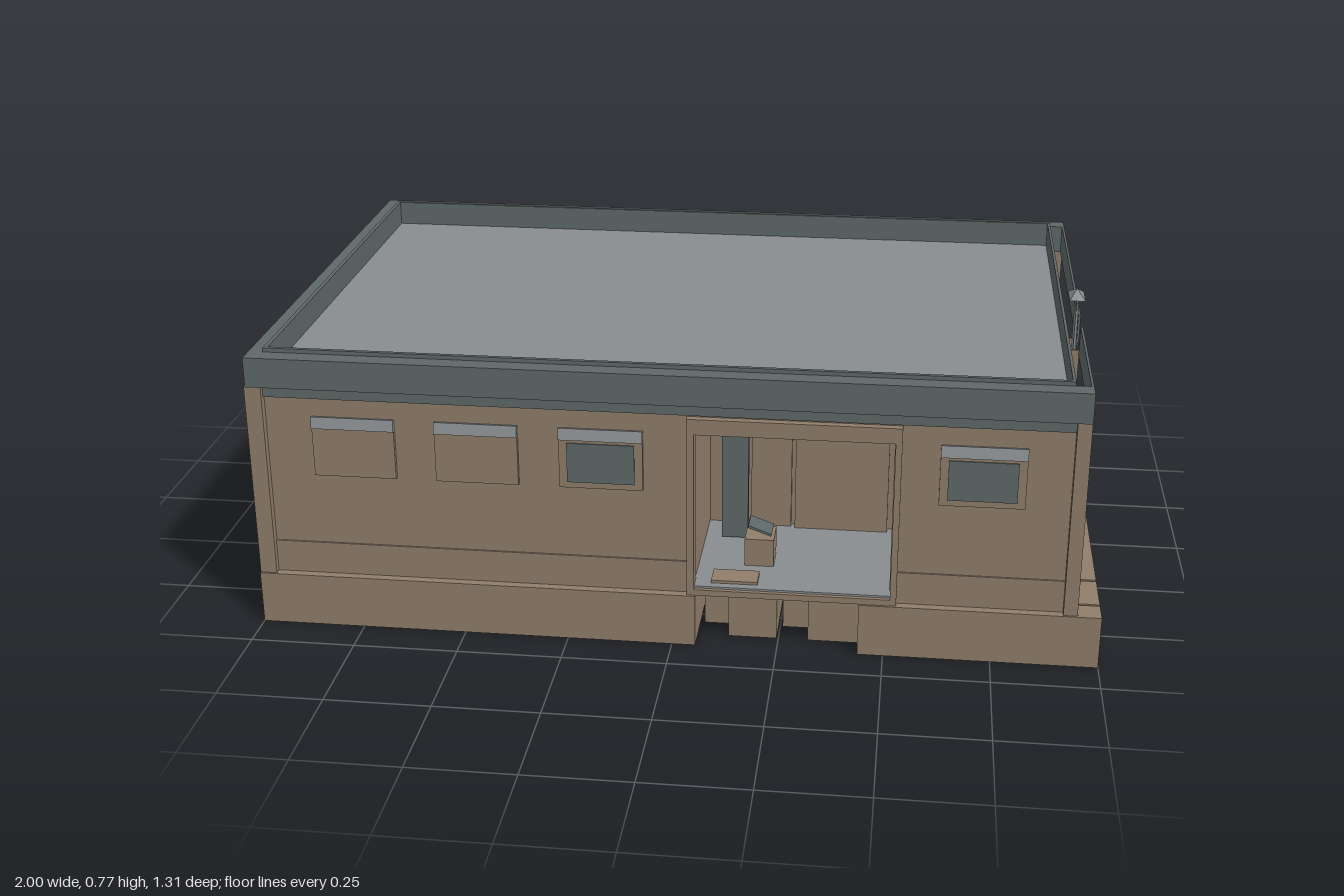
import * as THREE from 'three';

const mat = (name, color, side = THREE.FrontSide) => {
  const m = new THREE.MeshStandardMaterial({ color, side });
  m.name = name;
  return m;
};

export function createModel() {
  const root = new THREE.Group();
  root.name = 'building';
  const tan = mat('tanWall', 0x8f7d6a);
  const grey = mat('lightGrey', 0x888c8e);
  const dark = mat('darkGrey', 0x5e6767);

  // box given by its limits on each axis
  const box = (name, m, x0, x1, y0, y1, z0, z1, parent = root) => {
    const mesh = new THREE.Mesh(new THREE.BoxGeometry(x1 - x0, y1 - y0, z1 - z0), m);
    mesh.position.set((x0 + x1) / 2, (y0 + y1) / 2, (z0 + z1) / 2);
    mesh.name = name;
    parent.add(mesh);
    return mesh;
  };
  const group = (name) => {
    const g = new THREE.Group();
    g.name = name;
    root.add(g);
    return g;
  };

  // foundation: three slabs parted by narrow joints, with a notched front
  const base = group('foundation');
  const blocks = [
    [-1, 0.056, 0.655], [0.066, 0.13, 0.54], [0.13, 0.246, 0.6],
    [0.256, 0.32, 0.54], [0.32, 0.44, 0.6], [0.44, 0.95, 0.655],
  ];
  for (const [x0, x1, zFront] of blocks) box('foundationBlock', tan, x0, x1, 0, 0.13, -0.655, zFront, base);
  for (const [z0, z1] of [[-0.655, 0.463], [0.47, 0.588], [0.595, 0.655]])
    box('sideLedge', tan, 0.95, 1, 0, 0.13, z0, z1, base);

  // corner pilasters
  for (const [x0, x1] of [[-1, -0.96], [0.912, 0.945]])
    for (const [z0, z1] of [[0.62, 0.65], [-0.645, -0.61]])
      box('cornerPilaster', tan, x0, x1, 0.13, 0.615, z0, z1);

  // side and back panels, each with a slightly raised lower band
  const walls = group('walls');
  box('rightPanel', tan, 0.902, 0.915, 0.13, 0.6, -0.62, 0.63, walls);
  box('rightLowerBand', tan, 0.915, 0.919, 0.13, 0.21, -0.61, 0.62, walls);
  box('leftPanel', tan, -0.985, -0.965, 0.13, 0.6, -0.62, 0.63, walls);
  box('leftLowerBand', tan, -0.989, -0.985, 0.13, 0.21, -0.61, 0.62, walls);
  box('backPanel', tan, -0.965, 0.912, 0.13, 0.6, -0.63, -0.61, walls);
  box('backLowerBand', tan, -0.96, 0.912, 0.13, 0.21, -0.634, -0.63, walls);
  box('backTopRail', tan, -0.96, 0.912, 0.585, 0.612, -0.645, -0.61, walls);

  // front wall on either side of the entrance
  for (const [x0, x1] of [[-0.965, 0.04], [0.52, 0.915]]) {
    box('frontPanel', tan, x0, x1, 0.13, 0.6, 0.61, 0.63, walls);
    box('frontLowerBand', tan, x0, x1, 0.13, 0.21, 0.63, 0.634, walls);
  }
  box('frontHeadPanel', tan, 0.04, 0.52, 0.575, 0.6, 0.61, 0.63, walls);
  box('frontShadowStrip', dark, -0.96, 0.912, 0.583, 0.612, 0.61, 0.638, walls);

  // windows with a small hood above each
  for (const [x, glazed] of [[-0.75, false], [-0.458, false], [-0.165, true], [0.712, true]]) {
    const g = group('window');
    box('windowPanel', tan, x - 0.098, x + 0.098, 0.39, 0.515, 0.63, 0.641, g);
    if (glazed) box('windowGlass', dark, x - 0.079, x + 0.079, 0.405, 0.503, 0.641, 0.644, g);
    const hood = box('windowHood', grey, x - 0.098, x + 0.098, 0.51, 0.538, 0.633, 0.645, g);
    hood.rotation.x = -0.25;
  }

  // entrance frame
  const door = group('entrance');
  for (const [x0, x1] of [[0.035, 0.052], [0.512, 0.527]])
    box('doorJamb', tan, x0, x1, 0.13, 0.578, 0.6, 0.648, door);
  box('doorHeader', tan, 0.052, 0.512, 0.54, 0.578, 0.6, 0.648, door);
  box('doorSill', tan, 0.052, 0.512, 0.13, 0.145, 0.63, 0.65, door);

  // entrance alcove
  box('alcoveFloor', grey, 0.04, 0.52, 0.131, 0.15, 0.28, 0.64, door);
  box('alcoveBack', tan, 0.03, 0.53, 0.13, 0.578, 0.26, 0.28, door);
  box('alcoveLeftSide', tan, 0.51, 0.525, 0.13, 0.578, 0.28, 0.61, door);
  box('alcoveRightSide', tan, 0.035, 0.05, 0.13, 0.578, 0.28, 0.61, door);
  box('alcoveCeiling', tan, 0.04, 0.52, 0.562, 0.578, 0.28, 0.61, door);
  box('innerDoor', tan, 0.265, 0.495, 0.15, 0.527, 0.28, 0.3, door);
  box('innerPanel', tan, 0.155, 0.255, 0.15, 0.495, 0.28, 0.292, door);
  box('darkDoorLeaf', dark, 0.09, 0.155, 0.155, 0.49, 0.36, 0.38, door);
  box('doorMat', tan, 0.09, 0.2, 0.15, 0.157, 0.56, 0.62, door);
  box('crate', tan, 0.16, 0.23, 0.15, 0.22, 0.44, 0.52, door);
  const lid = box('crateLid', dark, 0.165, 0.225, 0.235, 0.241, 0.45, 0.51, door);
  lid.rotation.z = -0.35;

  // roof deck sunk behind a parapet with a raised inner rim
  const roof = group('roof');
  box('roofDeck', grey, -0.96, 0.902, 0.622, 0.632, -0.61, 0.61, roof);
  box('frontParapet', dark, -0.995, 0.945, 0.612, 0.685, 0.61, 0.655, roof);
  box('backParapet', dark, -0.995, 0.945, 0.612, 0.685, -0.645, -0.6, roof);
  box('leftParapet', dark, -0.995, -0.955, 0.612, 0.685, -0.6, 0.61, roof);
  box('frontRim', dark, -0.955, 0.905, 0.622, 0.695, 0.602, 0.612, roof);
  box('backRim', dark, -0.955, 0.905, 0.622, 0.695, -0.602, -0.592, roof);
  box('leftRim', dark, -0.96, -0.95, 0.622, 0.695, -0.602, 0.612, roof);
  box('rightRim', dark, 0.898, 0.905, 0.618, 0.695, -0.602, 0.612, roof);
  // outer right fascia, open above and broken at the flue
  for (const [z0, z1] of [[-0.6, 0.135], [0.222, 0.61]])
    box('rightFascia', dark, 0.939, 0.945, 0.612, 0.685, z0, z1, roof);

  // flue on the right wall
  const flue = group('flue');
  box('flueBackPlate', tan, 0.915, 0.92, 0.43, 0.625, 0.135, 0.222, flue);
  for (const [z0, z1] of [[0.135, 0.14], [0.217, 0.222]])
    box('flueCheek', tan, 0.918, 0.94, 0.43, 0.625, z0, z1, flue);
  box('flueShelf', tan, 0.918, 0.94, 0.43, 0.438, 0.135, 0.222, flue);
  box('flueDuct', grey, 0.926, 0.932, 0.46, 0.72, 0.152, 0.207, flue);
  box('flueCollar', dark, 0.926, 0.932, 0.72, 0.74, 0.152, 0.207, flue);
  const capGeo = new THREE.ConeGeometry(Math.SQRT1_2, 1, 4, 1).rotateY(Math.PI / 4).toNonIndexed();
  capGeo.computeVertexNormals();
  const cap = new THREE.Mesh(capGeo, grey);
  cap.scale.set(0.038, 0.02, 0.074);
  cap.position.set(0.928, 0.758, 0.179);
  cap.name = 'flueCap';
  flue.add(cap);

  return root;
}
